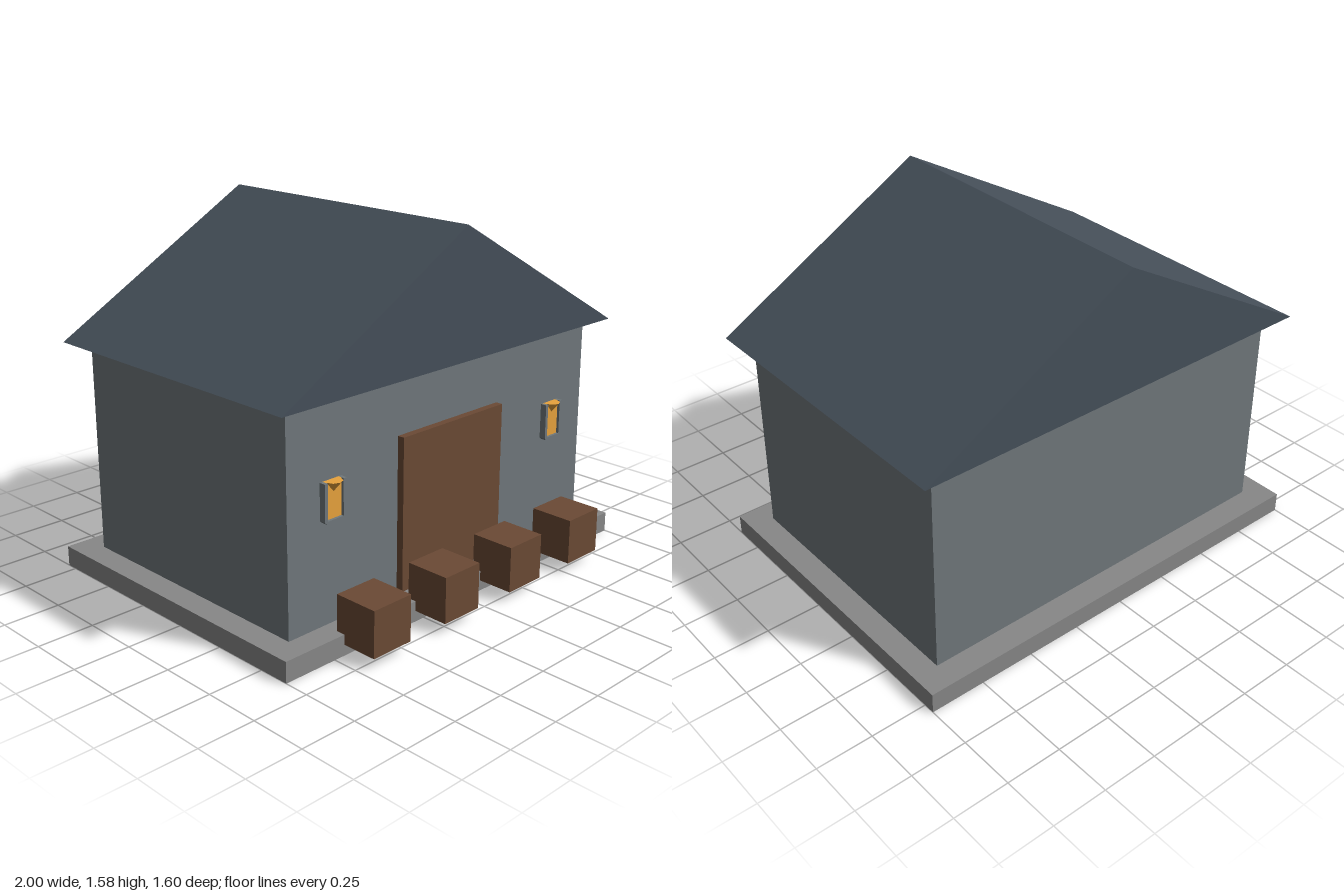
import * as THREE from 'three';

const mat = (color) => new THREE.MeshStandardMaterial({ color, flatShading: true });
const stone = mat(0x888888), wall = mat(0x70787c), slate = mat(0x46505a);
const wood = mat(0x6b4a35), amber = mat(0xe8a33d);

function add(parent, name, geometry, material) {
  const mesh = new THREE.Mesh(geometry, material);
  mesh.name = name;
  parent.add(mesh);
  return mesh;
}

// Box given by its lower and upper limits on each axis
function box(parent, name, material, [x0, x1], [y0, y1], [z0, z1]) {
  const mesh = add(parent, name, new THREE.BoxGeometry(x1 - x0, y1 - y0, z1 - z0), material);
  mesh.position.set((x0 + x1) / 2, (y0 + y1) / 2, (z0 + z1) / 2);
  return mesh;
}

// Outline in x, y extruded from z0 to z1
function prism(parent, name, material, points, z0, z1) {
  const shape = new THREE.Shape(points.map(([x, y]) => new THREE.Vector2(x, y)));
  const geometry = new THREE.ExtrudeGeometry(shape, { depth: z1 - z0, bevelEnabled: false });
  geometry.translate(0, 0, z0);
  return add(parent, name, geometry, material);
}

function createWallLamp(x) {
  const lamp = new THREE.Group();
  lamp.name = 'wallLamp';
  // U-shaped holder with clipped lower corners, open at the top
  prism(lamp, 'lampHolder', wall, [
    [-0.056, 0.69], [-0.056, 0.535], [-0.046, 0.525], [0.046, 0.525], [0.056, 0.535], [0.056, 0.69],
    [0.041, 0.69], [0.041, 0.537], [-0.041, 0.537], [-0.041, 0.69],
  ], 0.53, 0.562);
  box(lamp, 'lampPane', amber, [-0.041, 0.041], [0.537, 0.69], [0.53, 0.55]);
  // Inverted cone at the top of the pane
  const cone = add(lamp, 'lampFlame', new THREE.ConeGeometry(0.038, 0.045, 8), amber);
  cone.rotation.x = Math.PI;
  cone.position.set(0, 0.6675, 0.549);
  lamp.position.x = x;
  return lamp;
}

export function createModel() {
  const house = new THREE.Group();
  house.name = 'house';

  // Main building
  box(house, 'foundation', stone, [-1, 1], [0, 0.09], [-0.8, 0.64]);
  box(house, 'walls', wall, [-0.89, 0.89], [0.09, 1.03], [-0.685, 0.533]);
  prism(house, 'roof', slate, [[-0.975, 1.026], [0.975, 1.026], [0, 1.58]], -0.765, 0.612);
  box(house, 'door', wood, [-0.3, 0.3], [0.105, 0.77], [0.53, 0.565]);

  // Lamps either side of the door
  for (const side of [-1, 1]) house.add(createWallLamp(side * 0.667));

  // Row of crates in front
  for (const x of [-0.6, -0.2, 0.2, 0.6])
    box(house, 'crate', wood, [x - 0.1, x + 0.1], [0.047, 0.247], [0.6, 0.8]);

  return house;
}
